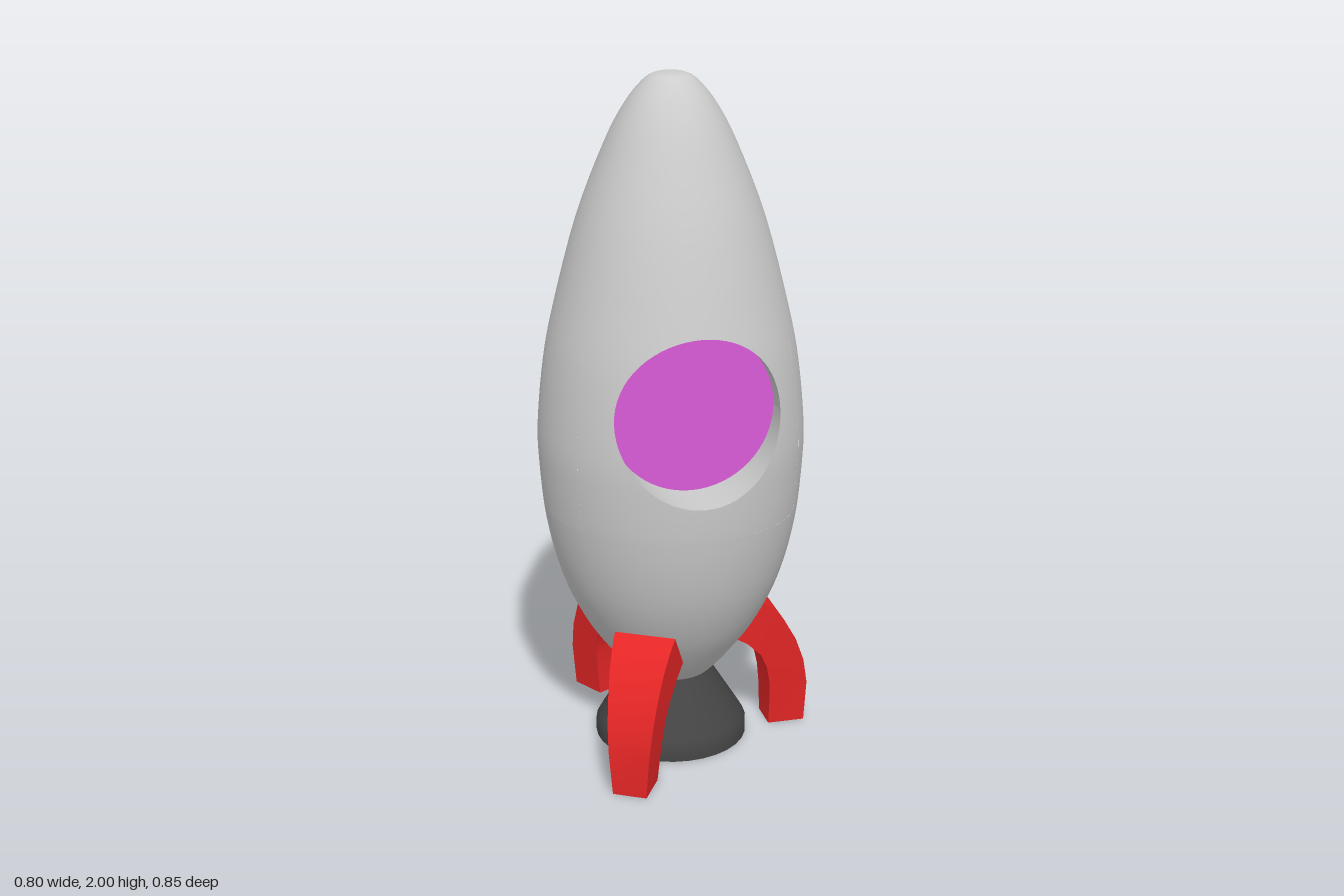
import * as THREE from 'three';
import { toCreasedNormals } from 'three/addons/utils/BufferGeometryUtils.js';

const mat = (name, color, side = THREE.FrontSide) => {
  const m = new THREE.MeshStandardMaterial({ color, side });
  m.name = name;
  return m;
};

// hull outline [radius, height], bottom to top
const profile = new THREE.SplineCurve([
  [0, 0.16], [0.06, 0.175], [0.12, 0.215], [0.19, 0.295], [0.262, 0.4], [0.325, 0.54], [0.366, 0.71],
  [0.383, 0.88], [0.384, 1.0], [0.366, 1.18], [0.337, 1.33], [0.268, 1.59], [0.187, 1.8],
  [0.13, 1.91], [0.078, 1.975], [0.04, 1.997], [0, 2],
].map(([r, y]) => new THREE.Vector2(r, y))).getPoints(64);

function radiusAt(y) {
  const i = Math.max(1, profile.findIndex((p) => p.y >= y));
  const a = profile[i - 1], b = profile[i];
  return THREE.MathUtils.lerp(a.x, b.x, (y - a.y) / (b.y - a.y));
}

// outline between two heights, with exact ends
function slice(y0, y1) {
  const pts = profile.filter((p) => p.y > y0 + 0.002 && p.y < y1 - 0.002);
  pts.unshift(new THREE.Vector2(radiusAt(y0), y0));
  pts.push(new THREE.Vector2(y1 >= 2 ? 0 : radiusAt(y1), y1));
  return pts;
}

// surface from a rule fn(u, v) -> [x, y, z]
function grid(fn, nu, nv) {
  const pos = [], idx = [];
  for (let i = 0; i <= nu; i++) for (let j = 0; j <= nv; j++) pos.push(...fn(i / nu, j / nv));
  for (let i = 0; i < nu; i++) for (let j = 0; j < nv; j++) {
    const a = i * (nv + 1) + j, b = a + nv + 1;
    idx.push(a, a + 1, b, b, a + 1, b + 1);
  }
  const g = new THREE.BufferGeometry();
  g.setAttribute('position', new THREE.Float32BufferAttribute(pos, 3));
  g.setIndex(idx);
  g.computeVertexNormals();
  return g;
}

// curved leg from cross-sections: [outer x, outer y, inner x, inner y, half width]
function finGeometry() {
  const rows = [
    [0.232, 0.432, 0.15, 0.32, 0.09], [0.27, 0.405, 0.2, 0.29, 0.086], [0.315, 0.355, 0.245, 0.245, 0.08],
    [0.355, 0.285, 0.266, 0.2, 0.073], [0.383, 0.21, 0.276, 0.15, 0.067], [0.397, 0.13, 0.28, 0.09, 0.06],
    [0.392, 0, 0.28, 0, 0.05],
  ];
  const pos = [], idx = [];
  rows.forEach(([ox, oy, ix, iy, w]) => pos.push(ox, oy, w, ox, oy, -w, ix, iy, -w, ix, iy, w));
  for (let i = 0; i < rows.length - 1; i++) for (let k = 0; k < 4; k++) {
    const a = i * 4 + k, b = i * 4 + (k + 1) % 4;
    idx.push(a, a + 4, b, b, a + 4, b + 4);
  }
  const e = (rows.length - 1) * 4;
  idx.push(0, 1, 2, 0, 2, 3, e, e + 2, e + 1, e, e + 3, e + 2);
  const g = new THREE.BufferGeometry();
  g.setAttribute('position', new THREE.Float32BufferAttribute(pos, 3));
  g.setIndex(idx);
  return toCreasedNormals(g, 0.6);
}

export function createModel() {
  const model = new THREE.Group();
  const grey = mat('hull grey', 0xcccccc);
  const greyInside = mat('porthole wall grey', 0xcccccc, THREE.DoubleSide);
  const magenta = mat('window magenta', 0xd95bd9);
  const red = mat('fin red', 0xe62626);
  const dark = mat('nozzle dark grey', 0x444444);
  const add = (parent, name, geo, m) => {
    const mesh = new THREE.Mesh(geo, m);
    mesh.name = name;
    parent.add(mesh);
    return mesh;
  };

  // rocket body, standing on an axis slightly off centre
  const body = new THREE.Group();
  body.name = 'body';
  body.position.x = -0.015;
  model.add(body);
  const low = 0.75, high = 1.43, half = Math.PI * 5 / 16;
  add(body, 'lowerHull', new THREE.LatheGeometry(slice(0.161, low), 64), grey);
  add(body, 'upperHull', new THREE.LatheGeometry(slice(high, 2), 64), grey);
  add(body, 'middleHull', new THREE.LatheGeometry(slice(low, high), 44, half, Math.PI * 2 - 2 * half), grey);

  // front of the hull around the round porthole
  const hole = 0.238, cx = 0.005, cy = 1.09, depth = 0.22;
  const onHull = (t, y) => [radiusAt(y) * Math.sin(t), y, radiusAt(y) * Math.cos(t)];
  const rim = (u) => {
    const a = u * Math.PI * 2, y = cy + hole * Math.sin(a);
    return [Math.asin((cx + hole * Math.cos(a)) / radiusAt(y)), y];
  };
  const patch = grid((u, v) => {
    const c = Math.cos(u * Math.PI * 2), s = Math.sin(u * Math.PI * 2), k = 1 / Math.max(Math.abs(c), Math.abs(s));
    const [t, y] = rim(u);
    const edgeY = (low + high) / 2 + s * k * (high - low) / 2;
    return onHull(THREE.MathUtils.lerp(t, c * k * half, v), THREE.MathUtils.lerp(y, edgeY, v));
  }, 64, 8);
  // the patch faces outward: u runs anticlockwise, v runs away from the hole
  const idx = patch.index.array;
  for (let i = 0; i < idx.length; i += 3) {
    const p = patch.attributes.position;
    const [a, b, c] = [0, 1, 2].map((k) => new THREE.Vector3().fromBufferAttribute(p, idx[i + k]));
    if (b.clone().sub(a).cross(c.clone().sub(a)).z < 0) [idx[i + 1], idx[i + 2]] = [idx[i + 2], idx[i + 1]];
  }
  const { position, normal } = patch.attributes;
  for (let i = 0; i < position.count; i++) {
    const x = position.getX(i), y = position.getY(i), z = position.getZ(i), r = Math.hypot(x, z);
    const slope = (radiusAt(y + 0.03) - radiusAt(y - 0.03)) / 0.06;
    const n = new THREE.Vector3(x / r, -slope, z / r).normalize();
    normal.setXYZ(i, n.x, n.y, n.z);
  }
  add(body, 'frontHull', patch, grey);

  // recessed porthole wall and window pane
  add(body, 'portholeWall', grid((u, v) => {
    const [x, y, z] = onHull(...rim(u));
    return [x, y, THREE.MathUtils.lerp(z, depth, v)];
  }, 64, 1), greyInside);
  add(body, 'window', new THREE.CircleGeometry(hole, 64), magenta).position.set(cx, cy, depth);

  // engine nozzle
  const nozzle = new THREE.LatheGeometry([[0, 0], [0.226, 0], [0.226, 0.04], [0.215, 0.06], [0.118, 0.215], [0, 0.215]]
    .map(([r, y]) => new THREE.Vector2(r, y)), 32);
  add(body, 'nozzle', toCreasedNormals(nozzle, 0.6), dark);

  // three landing fins
  const fin = finGeometry();
  [['leftFin', 0, 0, 0], ['frontFin', -1, -0.037, 0.048], ['backFin', 1, 0.0075, -0.058]].forEach(([name, turn, x, z]) => {
    const f = add(model, name, fin, red);
    f.rotation.y = turn * Math.PI * 2 / 3;
    f.position.set(x, 0, z);
  });
  return model;
}
